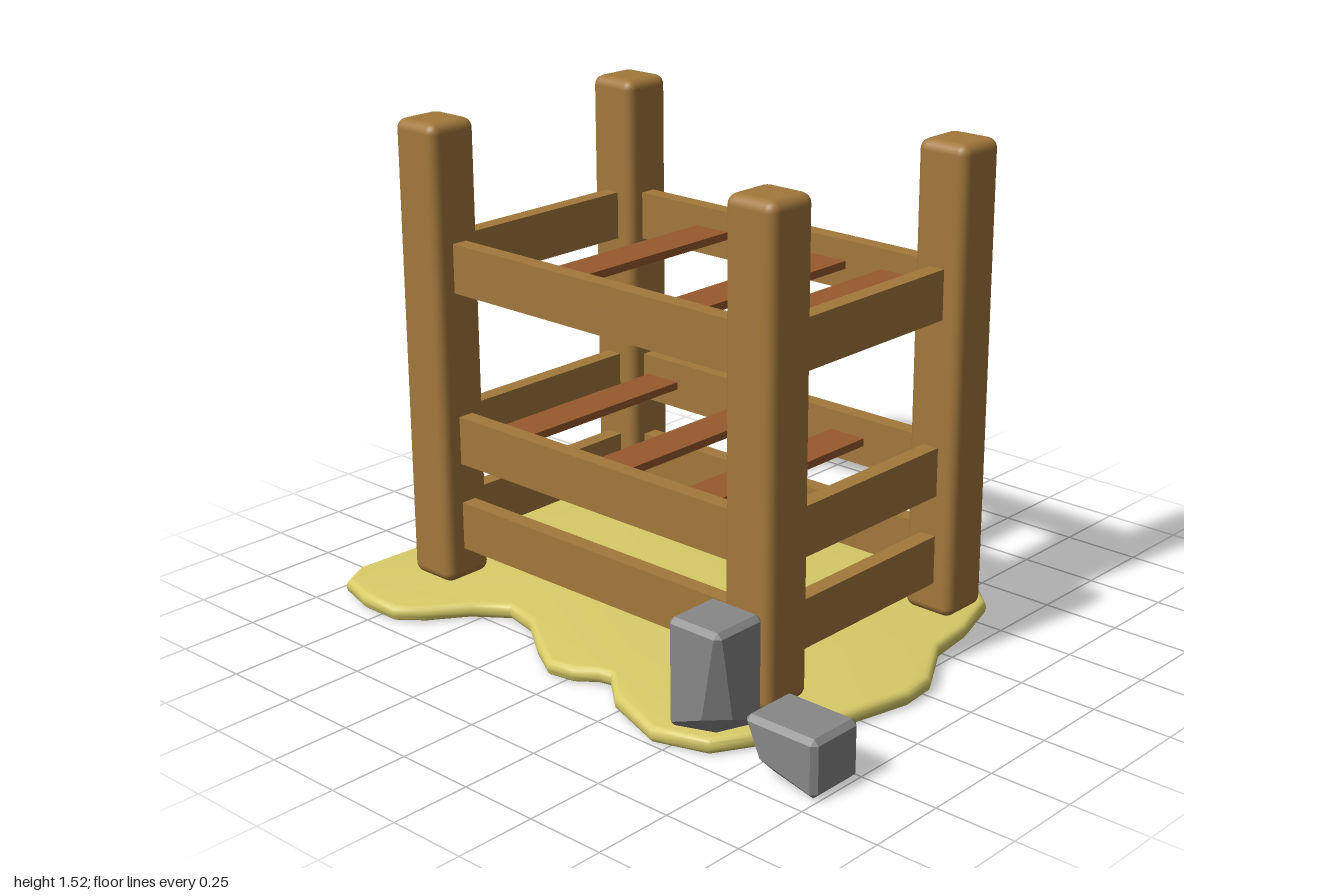
import * as THREE from 'three';
import { toCreasedNormals } from 'three/addons/utils/BufferGeometryUtils.js';
import { RoundedBoxGeometry } from 'three/addons/geometries/RoundedBoxGeometry.js';
import { ConvexGeometry } from 'three/addons/geometries/ConvexGeometry.js';

const paint = (color) => new THREE.MeshStandardMaterial({ color });

// Outline of the ground patch as [x, z]
const OUTLINE = [
  [-0.7, -0.73], [-0.26, -0.755], [0.52, -0.68], [0.65, -0.56], [0.71, -0.37], [0.73, -0.21],
  [0.84, -0.02], [0.85, 0.09], [0.8, 0.3], [0.72, 0.52], [0.62, 0.69], [0.45, 0.745],
  [0.24, 0.67], [0.13, 0.575], [0.09, 0.585], [0.03, 0.63], [-0.06, 0.645], [-0.17, 0.58],
  [-0.3, 0.485], [-0.42, 0.455], [-0.52, 0.53], [-0.6, 0.64], [-0.68, 0.705], [-0.82, 0.705],
  [-0.95, 0.665], [-1, 0.57], [-0.99, 0.35], [-0.95, 0.1], [-0.945, -0.1], [-0.96, -0.33],
  [-0.915, -0.56],
];

function groundGeometry() {
  const shape = new THREE.Shape(OUTLINE.map(([x, z]) => new THREE.Vector2(x, z)));
  const geo = new THREE.ExtrudeGeometry(shape, {
    depth: 0.01, bevelEnabled: true, bevelThickness: 0.02, bevelSize: 0.02, bevelOffset: -0.02, bevelSegments: 3,
  });
  geo.rotateX(Math.PI / 2).translate(0, 0.03, 0);
  return toCreasedNormals(geo, 0.8);
}

// Chamfered stone block with one lower front corner knocked off (side: +1 or -1 in x)
function rockGeometry(w, h, d, side) {
  const points = [];
  for (const sx of [-1, 1]) for (const sy of [-1, 1]) for (const sz of [-1, 1]) {
    const chipped = sx === side && sy < 0 && sz > 0;
    const c = chipped ? 0.06 : 0.016;
    const at = (a, b, e) => points.push(new THREE.Vector3(sx * (w / 2 - a), sy * (h / 2 - b), sz * (d / 2 - e)));
    at(0, c, c);
    at(c, 0, c);
    at(c, c, 0);
  }
  return new ConvexGeometry(points);
}

export function createModel() {
  const model = new THREE.Group();
  const wood = paint(0xa3783c);
  const slatWood = paint(0x98592d);
  const stone = paint(0x888888);

  const add = (name, geometry, material, x, y, z) => {
    const mesh = new THREE.Mesh(geometry, material);
    mesh.name = name;
    mesh.position.set(x, y, z);
    model.add(mesh);
  };

  add('ground', groundGeometry(), paint(0xd8cb68), 0, 0, 0);

  // Four corner posts
  const postX = [-0.755, 0.565];
  const postZ = [-0.447, 0.392];
  const post = new RoundedBoxGeometry(0.175, 1.475, 0.175, 3, 0.032);
  for (const x of postX) for (const z of postZ) add('post', post, wood, x, 0.7875, z);

  // Three rings of rails, ends let into the posts
  const longRail = new THREE.BoxGeometry(1.23, 0.155, 0.053);
  const shortRail = new THREE.BoxGeometry(0.053, 0.155, 0.75);
  for (const y of [0.235, 0.52, 1.075]) {
    add('backRail', longRail, wood, -0.095, y, -0.438);
    add('frontRail', longRail, wood, -0.095, y, 0.388);
    for (const x of postX) add('sideRail', shortRail, wood, x, y, -0.028);
  }

  // Two shelves of loose slats
  const slat = new THREE.BoxGeometry(0.13, 0.025, 0.775);
  for (const x of [-0.36, 0.12, 0.385]) add('upperSlat', slat, slatWood, x, 1.075, -0.025);
  for (const x of [-0.58, -0.155, 0.205]) add('lowerSlat', slat, slatWood, x, 0.52, -0.025);

  // Rocks beside the front left post
  add('tallRock', rockGeometry(0.19, 0.33, 0.19, 1), stone, 0.57, 0.215, 0.61);
  add('smallRock', rockGeometry(0.25, 0.175, 0.19, -1), stone, 0.875, 0.0925, 0.605);

  return model;
}
